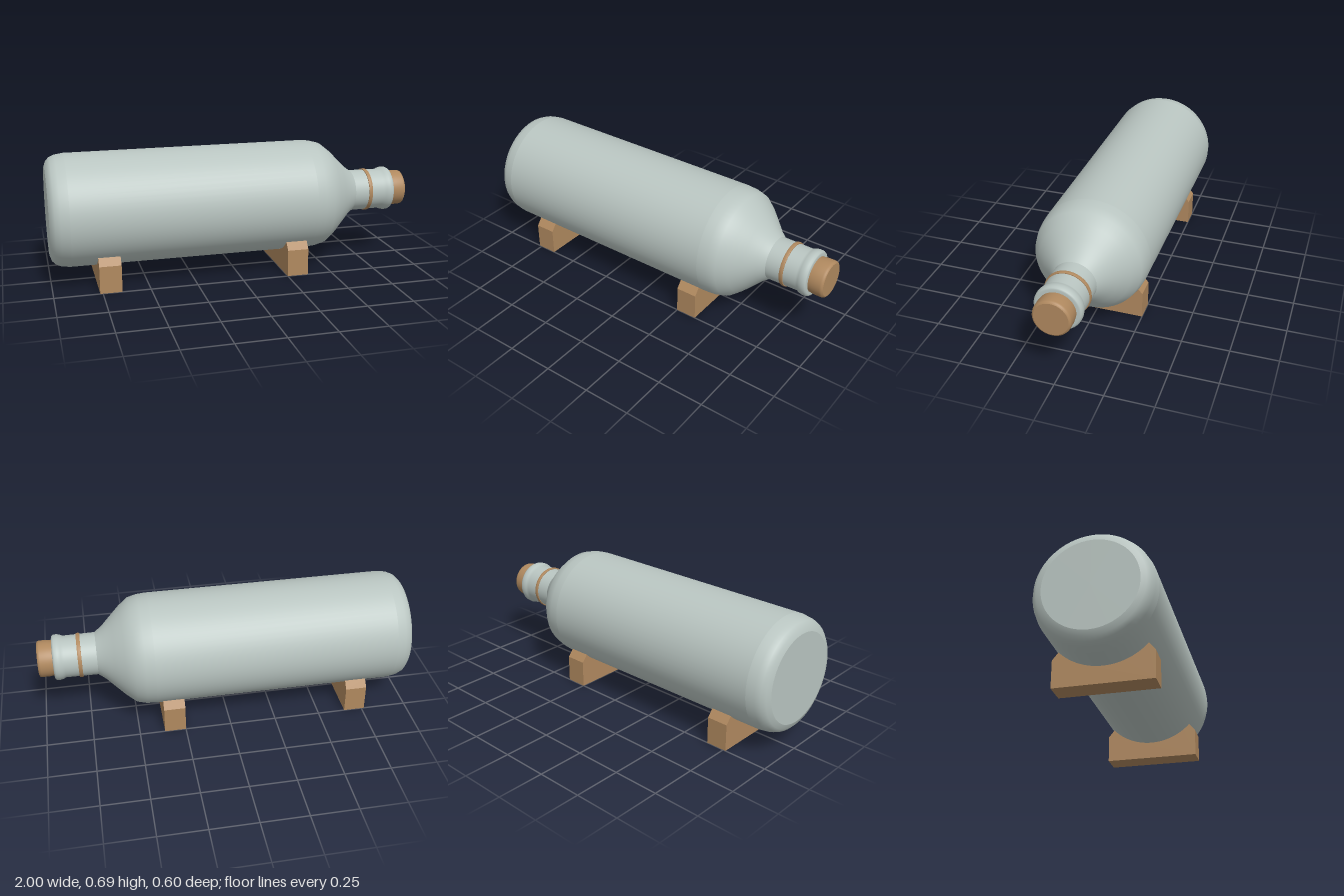
import * as THREE from 'three';

const AXIS_Y = 0.39;
const BODY_R = 0.3;

export function createModel() {
  const model = new THREE.Group();
  model.name = 'bottleOnStand';
  const glass = new THREE.MeshStandardMaterial({ name: 'pale grey glass', color: 0xb9c5c1 });
  const wood = new THREE.MeshStandardMaterial({ name: 'cork and wood', color: 0xb0895f });

  // Spins a profile of [x along the bottle, radius]; repeated points keep an edge sharp
  const spin = (name, profile, material) => {
    const points = profile.map(([x, r]) => new THREE.Vector2(r, x));
    const mesh = new THREE.Mesh(new THREE.LatheGeometry(points, 64), material);
    mesh.name = name;
    mesh.rotation.z = -Math.PI / 2;
    mesh.position.y = AXIS_Y;
    model.add(mesh);
  };

  // Bottle: flat base, rounded heel, straight body, sloping shoulder, neck and lip
  spin('bottle', [
    [-1, 0], [-1, 0.235], [-1, 0.235], [-0.99, 0.262], [-0.973, 0.281], [-0.945, 0.293], [-0.9, 0.3],
    [-0.9, 0.3], [0.4, 0.3], [0.4, 0.3], [0.45, 0.296], [0.5, 0.283], [0.55, 0.243], [0.6, 0.194],
    [0.65, 0.144], [0.69, 0.114], [0.69, 0.114], [0.86, 0.112], [0.875, 0.119], [0.892, 0.123],
    [0.908, 0.122], [0.917, 0.117], [0.92, 0.109], [0.92, 0.09],
  ], glass);

  // Ring around the neck
  spin('neckRing', [
    [0.77, 0.108], [0.77, 0.117], [0.77, 0.117], [0.775, 0.119], [0.785, 0.119], [0.79, 0.117],
    [0.79, 0.117], [0.79, 0.108],
  ], wood);

  // Stopper with softened end
  spin('cork', [
    [0.9, 0.094], [0.925, 0.095], [0.945, 0.098], [0.985, 0.098], [0.995, 0.095], [1, 0.087],
    [1, 0.087], [1, 0],
  ], wood);

  // Cradle outline: chamfered block with a round hollow for the body
  const lipZ = 0.218;
  const angle = Math.acos(lipZ / BODY_R);
  const outline = new THREE.Shape();
  outline.moveTo(-0.25, 0);
  outline.lineTo(0.25, 0);
  outline.lineTo(0.25, 0.145);
  outline.lineTo(lipZ, AXIS_Y - BODY_R * Math.sin(angle));
  outline.absarc(0, AXIS_Y, BODY_R, -angle, -Math.PI + angle, true);
  outline.lineTo(-0.25, 0.145);
  outline.closePath();

  const width = 0.115;
  const cradle = new THREE.ExtrudeGeometry(outline, { depth: width, bevelEnabled: false, curveSegments: 32 });
  cradle.translate(0, 0, -width / 2);
  cradle.rotateY(Math.PI / 2);
  for (const [name, x] of [['rearCradle', -0.707], ['neckCradle', 0.307]]) {
    const mesh = new THREE.Mesh(cradle, wood);
    mesh.name = name;
    mesh.position.x = x;
    model.add(mesh);
  }
  return model;
}
